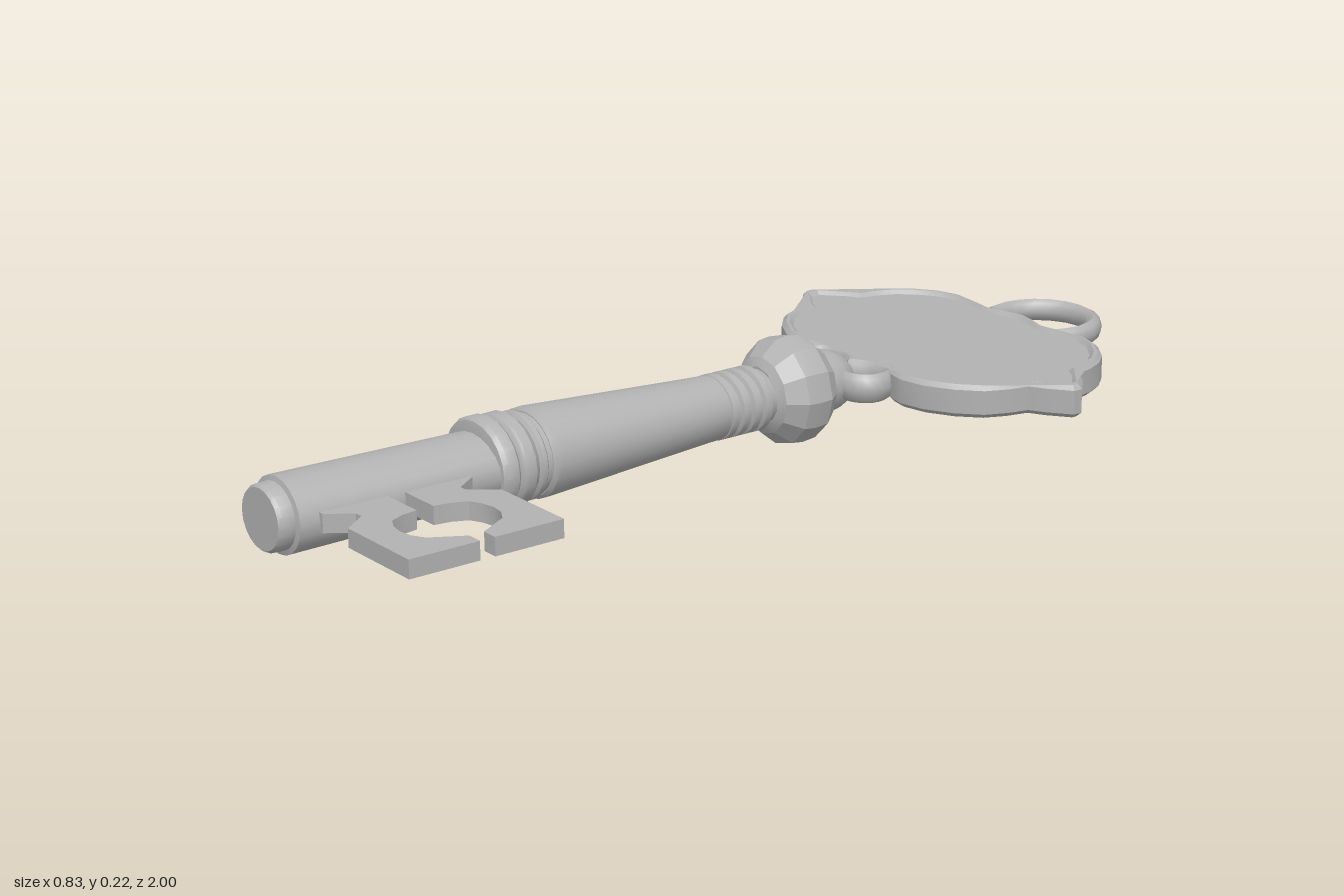
import * as THREE from 'three';
import { toCreasedNormals } from 'three/addons/utils/BufferGeometryUtils.js';

const AXIS = 0.109; // height of the key's long axis

export function createModel() {
  const key = new THREE.Group();
  key.name = 'key';
  const metal = new THREE.MeshStandardMaterial({ color: 0xb2b2b2 });
  metal.name = 'grey metal';

  const add = (name, geometry, crease = 0.6) => {
    const mesh = new THREE.Mesh(toCreasedNormals(geometry, crease), metal);
    mesh.name = name;
    key.add(mesh);
    return mesh;
  };
  // Turned part along z, from [radius, z] pairs; squash(z) flattens its height
  const turned = (name, profile, sides, squash, crease) => {
    const g = new THREE.LatheGeometry(profile.map(([r, z]) => new THREE.Vector2(r, z)), sides);
    g.rotateX(Math.PI / 2);
    const p = g.attributes.position;
    for (let i = 0; i < p.count; i++) p.setY(i, p.getY(i) * squash(p.getZ(i)) + AXIS);
    return add(name, g, crease);
  };
  // Flat part drawn in x and z, filling y from bottom to top
  const slab = (name, points, bottom, top, bevel = 0, hole = null) => {
    const toV = ([x, z]) => new THREE.Vector2(x, z);
    const shape = new THREE.Shape(points.map(toV));
    if (hole) shape.holes.push(new THREE.Path(hole.map(toV)));
    const g = new THREE.ExtrudeGeometry(shape, {
      depth: top - bottom - 2 * bevel, bevelEnabled: bevel > 0, bevelThickness: bevel,
      bevelSize: bevel, bevelOffset: -bevel, bevelSegments: 1,
    });
    g.rotateX(Math.PI / 2);
    g.translate(0, top - bevel, 0);
    return add(name, g, 0.5);
  };

  // Faceted ball and the neck that enters the bow
  turned('neck', [[0, -0.335], [0.04, -0.333], [0.058, -0.315], [0.068, -0.29], [0.07, -0.24]], 16, () => 0.92);
  turned('ball', [[0, -0.255], [0.08, -0.255], [0.106, -0.222], [0.109, -0.19], [0.106, -0.165],
    [0.078, -0.13], [0.06, -0.12], [0, -0.12]], 12, () => 1, 0.3);

  // Collar of small rings
  const collar = [[0, -0.13], [0.06, -0.13], [0.062, -0.11]];
  for (let i = 0; i < 4; i++) {
    const z = -0.105 + i * 0.027;
    collar.push([0.064, z], [0.072, z + 0.004], [0.072, z + 0.019], [0.064, z + 0.023]);
  }
  collar.push([0, 0.003]);
  turned('collar', collar, 20, () => 0.9);

  // Tapered shaft and the double band
  turned('shaft', [[0, -0.005], [0.07, -0.003], [0.075, 0.08], [0.097, 0.415], [0.097, 0.424], [0.09, 0.43], [0, 0.43]],
    20, () => 0.9);
  turned('bands', [[0, 0.425], [0.088, 0.425], [0.088, 0.44], [0.095, 0.446], [0.095, 0.455], [0.088, 0.46],
    [0.095, 0.468], [0.1, 0.474], [0.1, 0.494], [0.095, 0.5], [0.088, 0.503], [0.095, 0.507], [0.102, 0.514],
    [0.102, 0.536], [0.096, 0.545], [0.08, 0.548], [0, 0.548]], 20, () => 0.9);

  // Lower barrel, flatter next to the bands and rounder at the tip
  turned('barrel', [[0, 0.545], [0.09, 0.545], [0.078, 0.965], [0.068, 0.968], [0.067, 0.993], [0.062, 1], [0, 1]],
    20, (z) => THREE.MathUtils.lerp(0.72, 0.94, Math.min(1, (z - 0.545) / 0.42)));

  // Two mirrored halves of the bit
  const tooth = [[0.05, 0.608], [0.087, 0.608], [0.12, 0.656], [0.138, 0.656], [0.175, 0.605], [0.366, 0.605],
    [0.366, 0.751], [0.333, 0.751], [0.296, 0.687], [0.27, 0.672], [0.243, 0.668], [0.215, 0.673],
    [0.19, 0.686], [0.177, 0.715], [0.172, 0.749], [0.05, 0.749]];
  slab('innerTooth', tooth, 0.091, 0.127);
  slab('outerTooth', tooth.map(([x, z]) => [x, 1.533 - z]), 0.091, 0.127);

  // Scalloped bow plate: one half outline, mirrored
  const half = [[0.04, -0.817], [0.08, -0.804], [0.12, -0.81], [0.19, -0.818], [0.24, -0.803], [0.285, -0.77],
    [0.313, -0.735], [0.33, -0.695], [0.338, -0.655], [0.37, -0.635], [0.413, -0.593], [0.413, -0.573],
    [0.37, -0.54], [0.338, -0.522], [0.328, -0.48], [0.308, -0.435], [0.265, -0.395], [0.21, -0.365],
    [0.155, -0.354], [0.115, -0.362], [0.08, -0.378], [0.04, -0.37]];
  const mirrored = half.map(([x, z]) => [-x, z]).reverse();
  const outline = [[0, -0.825], ...half, [0, -0.364], ...mirrored];
  const inset = (sx, sz) => outline.map(([x, z]) => [x * sx, -0.588 + (z + 0.588) * sz]);
  slab('bowRim', outline, 0.078, 0.144, 0.009, inset(0.93, 0.91));
  slab('bowPanel', inset(0.95, 0.94), 0.086, 0.136);

  // Curled scrolls joining the bow to the neck
  for (const s of [1, -1]) {
    const path = new THREE.CatmullRomCurve3([[0, -0.352], [0.05, -0.377], [0.1, -0.367], [0.108, -0.325],
      [0.085, -0.298], [0.05, -0.29]].map(([x, z]) => new THREE.Vector3(s * x, 0, z)));
    const g = new THREE.TubeGeometry(path, 16, 0.014, 8, false);
    g.scale(1, 2.1, 1);
    g.translate(0, 0.111, 0);
    add(s > 0 ? 'leftScroll' : 'rightScroll', g, 0.9);
  }

  // Hanging ring
  const ring = new THREE.TorusGeometry(0.109, 0.018, 8, 20);
  ring.rotateX(Math.PI / 2);
  ring.scale(1, 1.3, 1);
  ring.translate(0, 0.112, -0.87);
  add('hangingRing', ring, 0.9);

  return key;
}
